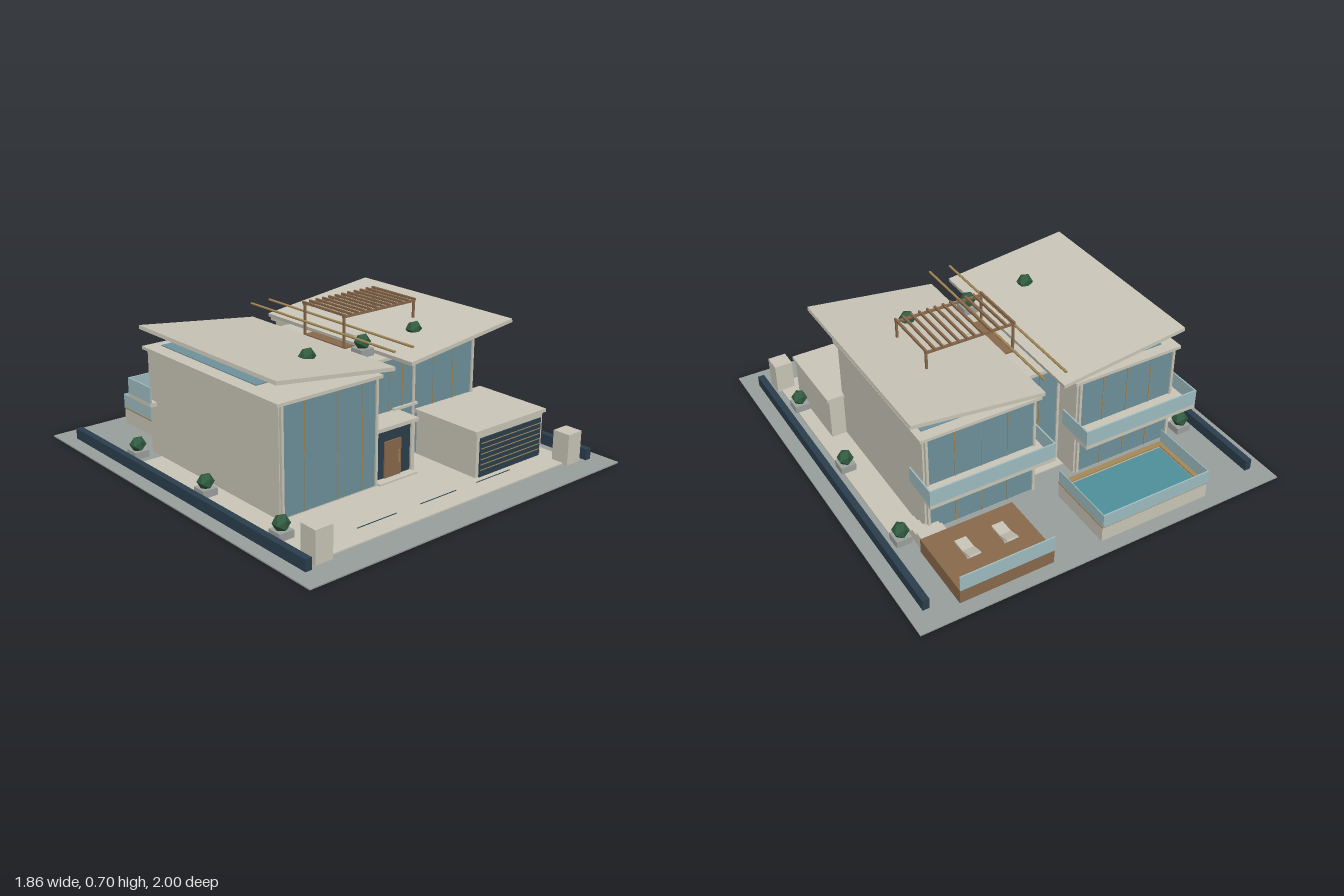
import * as THREE from 'three';

const material = (color, extra = {}) => new THREE.MeshStandardMaterial({ color, ...extra });

export function createModel() {
  const house = new THREE.Group();
  house.name = 'modernHouse';
  const M = {
    cream: material(0xcbc7b9), ground: material(0x9aa09e), navy: material(0x2b3f4d),
    glass: material(0x6f929d), paleGlass: material(0xa0bec1), wood: material(0x8a6a4d),
    bronze: material(0xa58a58), water: material(0x4f919c),
    leaf: material(0x315c40, { flatShading: true }), pot: material(0x9fa3a0),
  };

  const add = (name, geometry, mat, x = 0, y = 0, z = 0) => {
    const mesh = new THREE.Mesh(geometry, mat);
    mesh.name = name;
    mesh.position.set(x, y, z);
    house.add(mesh);
    return mesh;
  };
  // Box given by its limits on each axis
  const box = (name, mat, x0, x1, y0, y1, z0, z1) =>
    add(name, new THREE.BoxGeometry(x1 - x0, y1 - y0, z1 - z0), mat,
      (x0 + x1) / 2, (y0 + y1) / 2, (z0 + z1) / 2);

  // Glazed facade at depth z, facing dir, with slim mullions and cream edge frames
  const facade = (name, x0, x1, y0, y1, z, dir, mullions) => {
    const slab = (n, m, a, b, c, d, depth) =>
      box(n, m, a, b, c, d, Math.min(z, z + dir * depth), Math.max(z, z + dir * depth));
    slab(name + 'Glass', M.glass, x0, x1, y0, y1, 0.006);
    for (const x of mullions) slab(name + 'Mullion', M.bronze, x - 0.002, x + 0.002, y0, y1, 0.009);
    slab(name + 'Frame', M.cream, x0 - 0.006, x0 + 0.006, y0, y1, 0.014);
    slab(name + 'Frame', M.cream, x1 - 0.006, x1 + 0.006, y0, y1, 0.014);
  };

  const planter = (name, x, y, z) => {
    box(name + 'Pot', M.pot, x - 0.037, x + 0.037, y, y + 0.035, z - 0.037, z + 0.037);
    add(name + 'Shrub', new THREE.IcosahedronGeometry(0.04, 0), M.leaf, x, y + 0.062, z);
  };

  // Plot, paving, boundary walls, gate pillars and garden planters
  box('plot', M.ground, -0.93, 0.93, 0, 0.006, -1, 1);
  box('paving', M.cream, -0.78, 0.78, 0.006, 0.012, -0.42, 0.85);
  for (const s of [-1, 1]) {
    box('boundaryWall', M.navy, s * 0.845 - 0.016, s * 0.845 + 0.016, 0.006, 0.06, -0.89, 0.89);
    box('gatePillar', M.cream, s * 0.755 - 0.045, s * 0.755 + 0.045, 0.006, 0.158, 0.785, 0.875);
    for (const z of [-0.49, 0.07, 0.605]) planter('garden', s * 0.755, 0.012, z);
  }
  for (const x of [-0.36, 0, 0.35])
    box('pavingJoint', M.navy, x - 0.11, x + 0.11, 0.012, 0.014, 0.743, 0.747);

  // Main volumes and their flat roofs
  box('leftWing', M.cream, -0.67, -0.13, 0.012, 0.522, -0.5, 0.485);
  box('rightWing', M.cream, 0.08, 0.64, 0.012, 0.522, -0.5, 0.32);
  box('hall', M.cream, -0.13, 0.23, 0.012, 0.522, -0.36, 0.33);
  box('leftFlatRoof', M.cream, -0.69, -0.115, 0.522, 0.537, -0.515, 0.505);
  box('rightFlatRoof', M.cream, 0.06, 0.655, 0.522, 0.537, -0.515, 0.345);
  box('hallFlatRoof', M.cream, -0.115, 0.06, 0.522, 0.536, -0.36, 0.345);

  // Front and back glazing
  facade('leftFront', -0.66, -0.14, 0.02, 0.52, 0.485, 1, [-0.54, -0.36, -0.22]);
  facade('hallFront', -0.118, 0.23, 0.02, 0.52, 0.33, 1, [0.08, 0.16]);
  facade('rightFront', 0.24, 0.63, 0.02, 0.52, 0.32, 1, [0.37, 0.5]);
  facade('leftBack', -0.655, -0.145, 0.02, 0.52, -0.5, -1, [-0.53, -0.4, -0.27]);
  facade('rightBack', 0.095, 0.625, 0.02, 0.52, -0.5, -1, [0.23, 0.36, 0.49]);
  facade('hallBack', -0.12, 0.075, 0.02, 0.52, -0.36, -1, [-0.02]);
  box('hallFloorBand', M.cream, 0.1, 0.25, 0.272, 0.284, 0.32, 0.35);

  // Tilted roofs rising outward, skylights and the rails at their inner edges
  for (const s of [-1, 1]) {
    add(s < 0 ? 'leftTiltedRoof' : 'rightTiltedRoof', new THREE.BoxGeometry(0.653, 0.018, 1.03),
      M.cream, s * 0.373, 0.589, -0.005).rotation.z = s * 0.122;
    box('skylight', M.glass, s * 0.46 - 0.16, s * 0.46 + 0.16, 0.537, 0.541, -0.46, 0.27);
    add('roofRail', new THREE.CylinderGeometry(0.006, 0.006, 1.03, 8), M.bronze,
      s * 0.055, 0.628, -0.005).rotation.x = Math.PI / 2;
  }

  // Roof terrace: floor, bench, pergola and planters
  box('terraceFloor', M.wood, -0.01, 0.435, 0.537, 0.545, -0.165, 0.125);
  box('terraceBench', M.cream, 0.09, 0.29, 0.545, 0.575, 0.02, 0.085);
  for (const z of [-0.163, 0.118]) {
    for (const x of [-0.005, 0.433])
      box('pergolaPost', M.wood, x - 0.005, x + 0.005, 0.537, 0.685, z - 0.005, z + 0.005);
    box('pergolaBeam', M.wood, -0.012, 0.44, 0.683, 0.694, z - 0.005, z + 0.005);
  }
  for (let i = 0; i < 12; i++) {
    const x = -0.007 + i * 0.04;
    box('pergolaSlat', M.wood, x - 0.005, x + 0.005, 0.692, 0.703, -0.175, 0.128);
  }
  for (const x of [-0.32, 0, 0.32]) planter('roof', x, 0.537, 0.24);

  // Entrance
  box('entrance', M.navy, -0.12, 0.11, 0.012, 0.255, 0.33, 0.455);
  for (const x of [-0.122, 0.112])
    box('entranceJamb', M.cream, x - 0.01, x + 0.01, 0.012, 0.256, 0.33, 0.465);
  box('entranceCanopy', M.cream, -0.135, 0.13, 0.256, 0.274, 0.32, 0.48);
  box('frontDoor', M.wood, -0.058, 0.042, 0.012, 0.195, 0.455, 0.462);
  box('doorHandle', M.bronze, 0.024, 0.029, 0.08, 0.14, 0.462, 0.469);
  box('doorStep', M.cream, -0.12, 0.11, 0.012, 0.02, 0.455, 0.5);

  // Garage with slatted door
  box('garage', M.cream, 0.27, 0.715, 0.012, 0.224, 0.31, 0.708);
  box('garageRoof', M.cream, 0.255, 0.727, 0.224, 0.241, 0.3, 0.718);
  box('garageDoor', M.navy, 0.29, 0.7, 0.012, 0.2, 0.708, 0.714);
  for (let i = 0; i < 6; i++)
    box('garageSlat', M.bronze, 0.295, 0.695, 0.044 + i * 0.026, 0.047 + i * 0.026, 0.714, 0.717);

  // Rear balconies with glass balustrades
  const balcony = (name, x0, x1, z0) => {
    box(name + 'Floor', M.cream, x0, x1, 0.257, 0.277, z0, -0.44);
    box(name + 'BackGlass', M.paleGlass, x0, x1, 0.277, 0.355, z0, z0 + 0.007);
    for (const x of [x0, x1 - 0.007])
      box(name + 'SideGlass', M.paleGlass, x, x + 0.007, 0.277, 0.355, z0 + 0.007, -0.44);
  };
  balcony('leftBalcony', -0.705, -0.1, -0.635);
  balcony('rightBalcony', 0.057, 0.675, -0.625);

  // Raised pool: open basin, rim, water and glass screens
  const ring = (w, d, t, h) => {
    const rect = (shape, a, b) => shape.moveTo(-a, -b).lineTo(a, -b).lineTo(a, b).lineTo(-a, b).closePath();
    const shape = rect(new THREE.Shape(), w / 2, d / 2);
    shape.holes.push(rect(new THREE.Path(), w / 2 - t, d / 2 - t));
    return new THREE.ExtrudeGeometry(shape, { depth: h, bevelEnabled: false }).rotateX(-Math.PI / 2);
  };
  add('poolBasin', ring(0.57, 0.34, 0.025, 0.076), M.cream, -0.275, 0.006, -0.762);
  add('poolRim', ring(0.574, 0.344, 0.027, 0.006), M.bronze, -0.275, 0.082, -0.762);
  box('poolWater', M.water, -0.536, -0.014, 0.006, 0.075, -0.908, -0.616);
  box('poolBackScreen', M.paleGlass, -0.56, 0.01, 0.088, 0.156, -0.937, -0.93);
  for (const x of [-0.56, 0.006])
    box('poolSideScreen', M.paleGlass, x, x + 0.004, 0.088, 0.156, -0.93, -0.592);

  // Sun deck with screen, loungers and steps
  box('sunDeck', M.wood, 0.255, 0.712, 0.006, 0.08, -0.932, -0.59);
  box('deckScreen', M.paleGlass, 0.255, 0.712, 0.08, 0.156, -0.937, -0.93);
  for (const x of [0.392, 0.573]) {
    box('loungerSeat', M.cream, x - 0.028, x + 0.028, 0.092, 0.1, -0.8, -0.69);
    add('loungerBack', new THREE.BoxGeometry(0.056, 0.008, 0.06), M.cream, x, 0.106, -0.79).rotation.x = 0.3;
    for (const z of [-0.79, -0.7])
      box('loungerLeg', M.cream, x - 0.024, x + 0.024, 0.08, 0.092, z - 0.004, z + 0.004);
  }
  for (let i = 0; i < 4; i++)
    box('deckStep', M.cream, 0.58, 0.703, 0.006, 0.022 + i * 0.017, -0.59, -0.39 - i * 0.05);

  return house;
}
